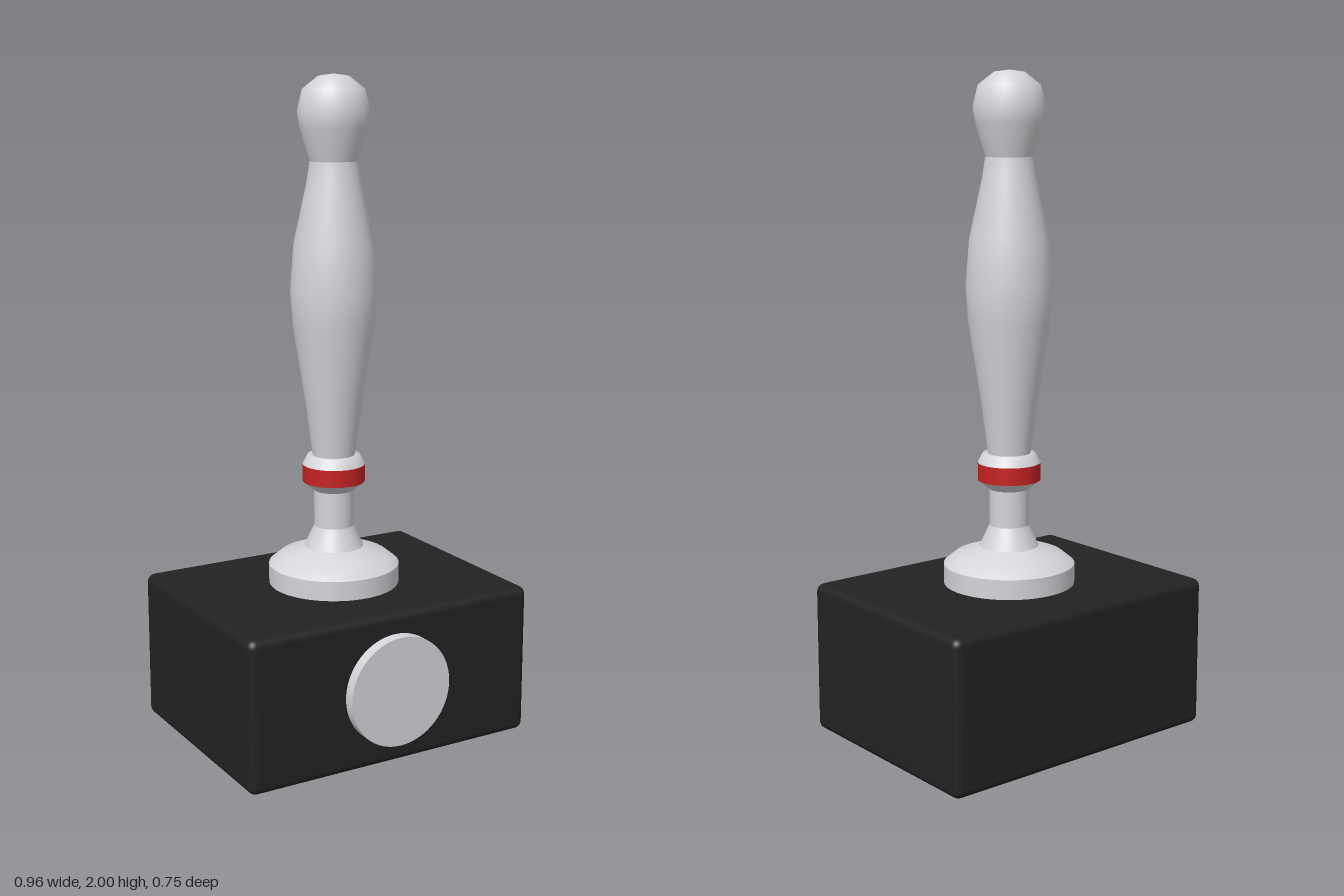
import * as THREE from 'three';
import { RoundedBoxGeometry } from 'three/addons/geometries/RoundedBoxGeometry.js';

export function createModel() {
  const black = new THREE.MeshStandardMaterial({ color: 0x222222 });
  black.name = 'black';
  const silver = new THREE.MeshStandardMaterial({ color: 0xd4d4d9 });
  silver.name = 'silver';
  const red = new THREE.MeshStandardMaterial({ color: 0xc42222 });
  red.name = 'red';

  const model = new THREE.Group();
  model.name = 'tapHandle';
  const axisZ = -0.018;

  const add = (name, geometry, material, x, y, z) => {
    const mesh = new THREE.Mesh(geometry, material);
    mesh.name = name;
    mesh.position.set(x, y, z);
    model.add(mesh);
    return mesh;
  };
  // Each turned section is its own lathe, so the joins stay crisp
  const turn = (name, profile, material = silver) =>
    add(name, new THREE.LatheGeometry(profile.map(([r, y]) => new THREE.Vector2(r, y)), 64),
      material, 0, 0, axisZ);

  // Block with softened edges
  add('block', new RoundedBoxGeometry(0.956, 0.465, 0.715, 3, 0.025), black, 0, 0.2325, axisZ);

  // Round plate on the front
  const plate = add('frontDisc', new THREE.CylinderGeometry(0.168, 0.168, 0.045, 64), silver, 0, 0.235, 0.3525);
  plate.rotation.x = Math.PI / 2;

  // Foot and stem
  turn('footRim', [[0.2, 0.46], [0.2, 0.525]]);
  turn('footShoulder', [[0.2, 0.525], [0.165, 0.553], [0.09, 0.58]]);
  turn('stemFlare', [[0.09, 0.58], [0.06, 0.645]]);
  turn('stem', [[0.06, 0.645], [0.06, 0.757]]);

  // Collar with coloured band
  turn('collarUnderside', [[0.06, 0.757], [0.095, 0.785]]);
  turn('collarBand', [[0.095, 0.785], [0.095, 0.838]], red);
  turn('collarTop', [[0.095, 0.838], [0.08, 0.867], [0.065, 0.868]]);

  // Swelling grip and rounded knob
  turn('grip', [
    [0.065, 0.868], [0.085, 1.025], [0.122, 1.26], [0.13, 1.37],
    [0.119, 1.51], [0.08, 1.69], [0.071, 1.75],
  ]);
  turn('knob', [
    [0.071, 1.75], [0.1, 1.845], [0.107, 1.895], [0.092, 1.957], [0.045, 1.994], [0, 2],
  ]);

  return model;
}
